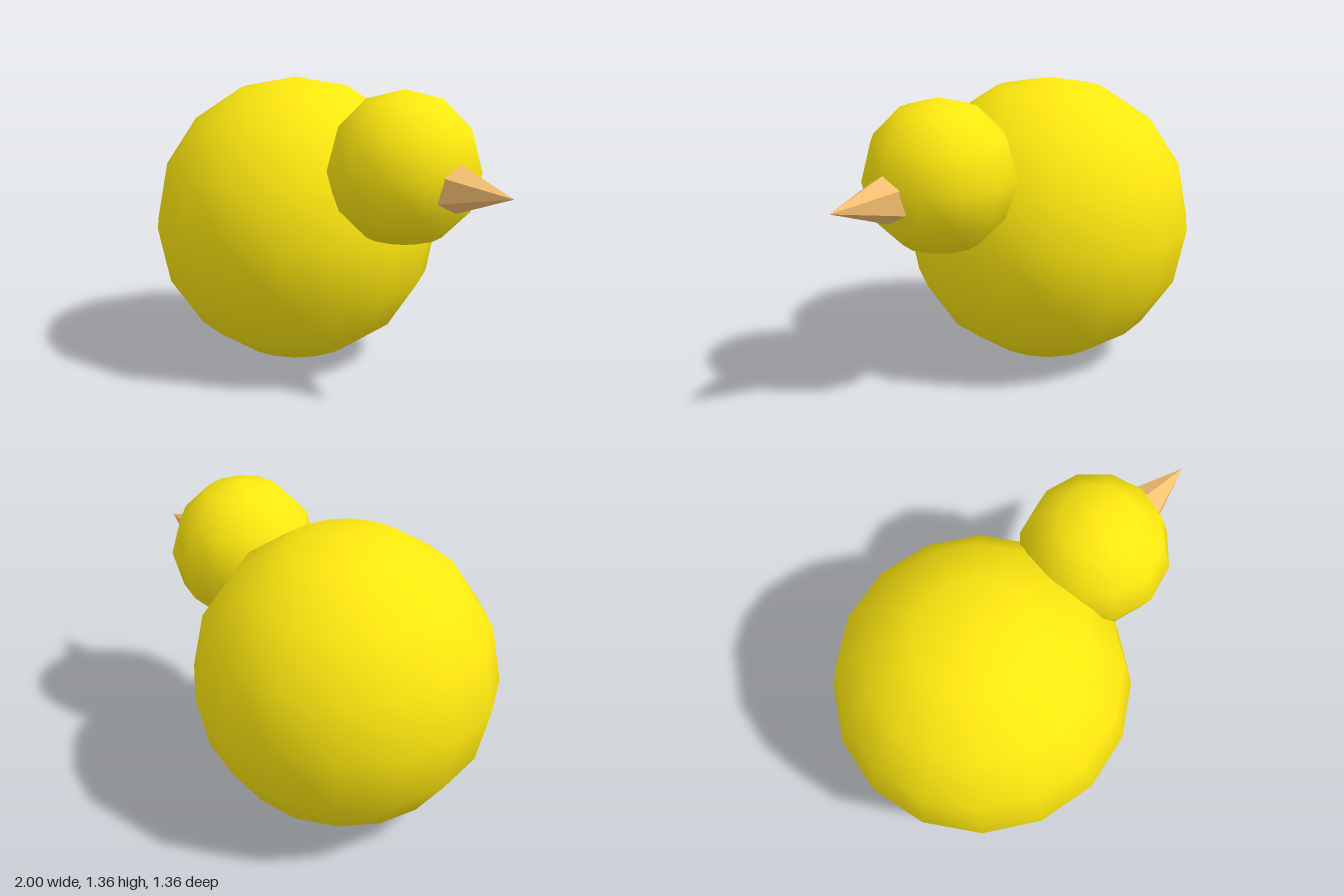
import * as THREE from 'three';

export function createModel() {
  const model = new THREE.Group();
  const yellow = new THREE.MeshStandardMaterial({ color: 0xffe90f });
  const tan = new THREE.MeshStandardMaterial({ color: 0xfac272, flatShading: true });

  function add(name, geometry, material, x, y, z) {
    const mesh = new THREE.Mesh(geometry, material);
    mesh.name = name;
    mesh.position.set(x, y, z);
    model.add(mesh);
    return mesh;
  }

  // Round body and smaller head, smooth shaded
  add('body', new THREE.SphereGeometry(0.68, 16, 8), yellow, -0.32, 0.68, 0);
  add('head', new THREE.SphereGeometry(0.34, 12, 6), yellow, 0.4, 1.02, 0);

  // Six-sided beak pointing along +x, its base sunk into the head
  const beakLength = 0.4;
  const beak = new THREE.ConeGeometry(0.146, beakLength, 6);
  beak.rotateY(Math.PI / 2); // puts a ridge on top
  beak.rotateZ(-Math.PI / 2);
  add('beak', beak, tan, 1 - beakLength / 2, 0.98, 0);

  return model;
}
